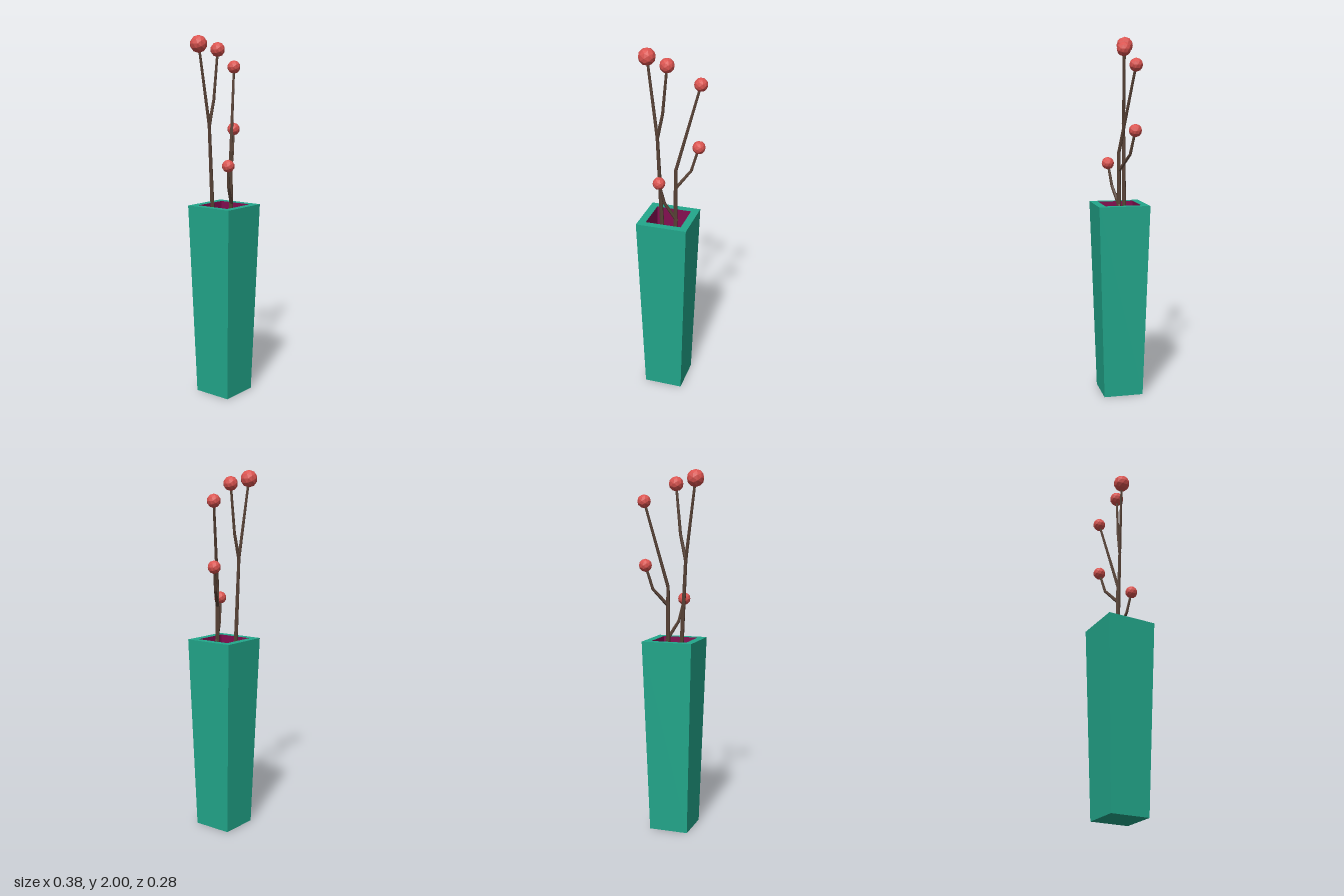
import * as THREE from 'three';

const mat = (name, color) => {
  const m = new THREE.MeshStandardMaterial({ color, flatShading: true });
  m.name = name;
  return m;
};

export function createModel() {
  const glaze = mat('teal glaze', 0x22a78b);
  const lining = mat('plum lining', 0x820d50);
  const bark = mat('brown bark', 0x584236);
  const red = mat('berry red', 0xdb5450);

  const model = new THREE.Group();
  model.name = 'vaseWithBerryTwigs';
  const add = (name, geometry, material) => {
    const mesh = new THREE.Mesh(geometry, material);
    mesh.name = name;
    model.add(mesh);
    return mesh;
  };

  // Square tapered shell: four-sided lathe, profile given as [half width, height]
  const squareLathe = (profile) => new THREE.LatheGeometry(
    profile.map(([w, y]) => new THREE.Vector2(w * Math.SQRT2, y)), 4,
  ).rotateY(Math.PI / 4).translate(-0.007, 0, 0);
  add('vaseBody', squareLathe([[0, 0], [0.11, 0], [0.142, 1.08], [0.1, 1.08]]), glaze);
  add('vaseInside', squareLathe([[0.1, 1.08], [0.077, 0.02], [0, 0.02]]), lining);

  // Tapered six-sided twig: cylinder rings moved onto the points of a path
  const twig = (name, path, r0, r1) => {
    const pts = path.map((p) => new THREE.Vector3(...p));
    const last = pts.length - 1;
    const frames = pts.map((p, i) => new THREE.Quaternion().setFromUnitVectors(
      new THREE.Vector3(0, 1, 0),
      pts[Math.min(i + 1, last)].clone().sub(pts[Math.max(i - 1, 0)]).normalize(),
    ));
    const geo = new THREE.CylinderGeometry(1, 1, 1, 6, last);
    const pos = geo.attributes.position;
    const v = new THREE.Vector3();
    for (let k = 0; k < pos.count; k++) {
      v.fromBufferAttribute(pos, k);
      const i = Math.round((v.y + 0.5) * last);
      const r = THREE.MathUtils.lerp(r0, r1, i / last);
      v.set(v.x * r, 0, v.z * r).applyQuaternion(frames[i]).add(pts[i]);
      pos.setXYZ(k, v.x, v.y, v.z);
    }
    geo.computeVertexNormals();
    add(name, geo, bark);
  };

  // Each twig ends in a berry of the given radius
  const twigs = [
    ['tallStem', [[-0.01, 0.02, -0.035], [-0.062, 1.08, -0.04], [-0.084, 1.52, -0.042], [-0.145, 1.953, -0.063]], 0.014, 0.007, 0.047],
    ['tallBranch', [[-0.084, 1.52, -0.042], [-0.052, 1.66, -0.036], [-0.025, 1.926, -0.03]], 0.01, 0.007, 0.04],
    ['shortStem', [[0.035, 0.02, 0.015], [0.037, 1.08, 0.013], [0.037, 1.37, 0.012], [0.15, 1.835, -0.055]], 0.015, 0.007, 0.037],
    ['sideBranch', [[0.04, 1.27, 0.01], [0.11, 1.36, -0.033], [0.145, 1.49, -0.053]], 0.01, 0.007, 0.036],
    ['lowBranch', [[0.045, 1.07, 0.012], [-0.018, 1.18, 0.04], [-0.043, 1.303, 0.057]], 0.01, 0.007, 0.035],
  ];
  for (const [name, path, r0, r1, size] of twigs) {
    twig(name, path, r0, r1);
    add(name + 'Berry', new THREE.IcosahedronGeometry(size, 1), red).position.set(...path.at(-1));
  }
  return model;
}
